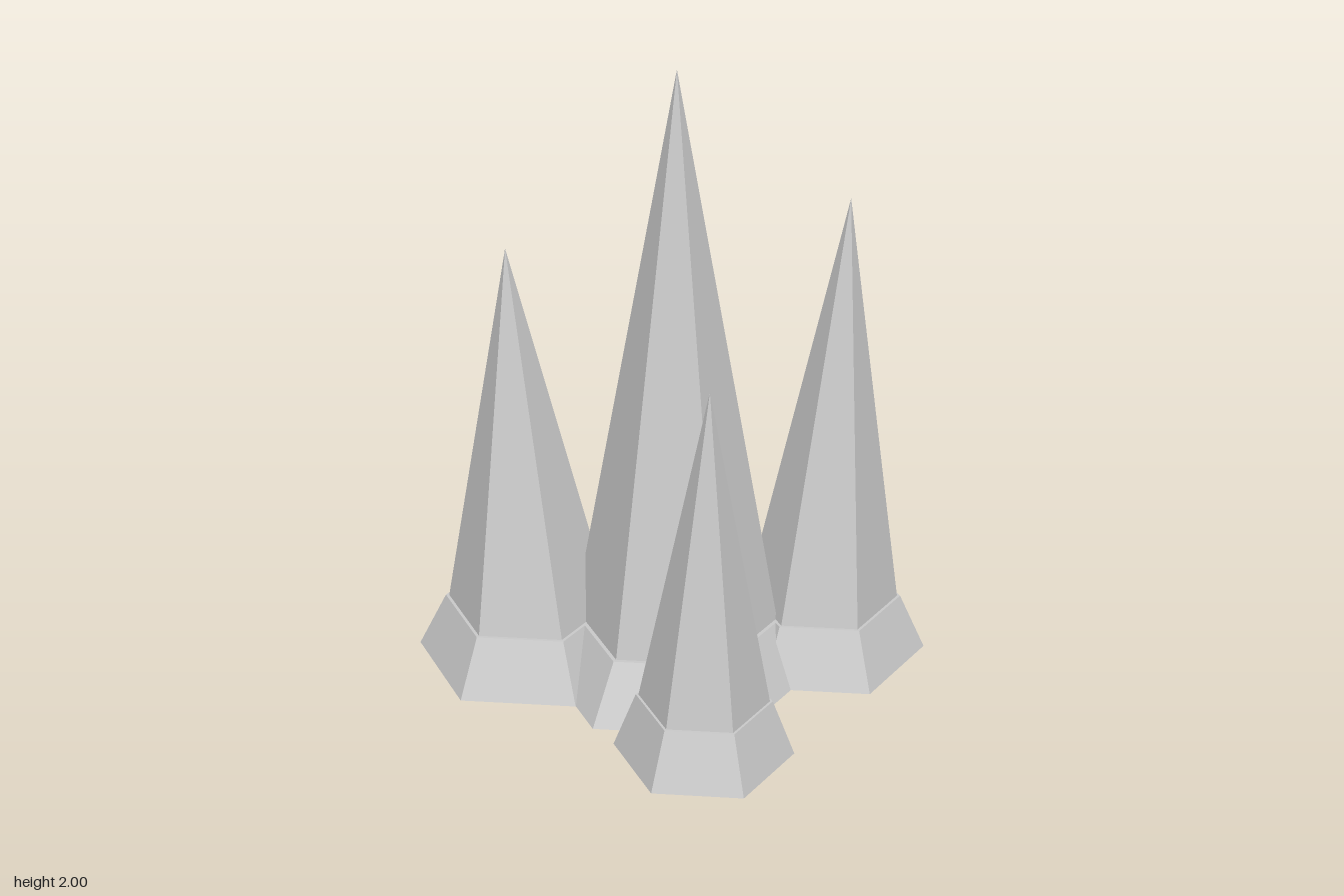
import * as THREE from 'three';

const stone = new THREE.MeshStandardMaterial({ color: 0xcccccc, flatShading: true });
stone.name = 'pale grey stone';

const BASE_HEIGHT = 0.185;
const CORNER = Math.PI / 6; // turns hexagon corners towards +x and -x

// Six-sided flared foot with a narrow ledge around the spike
function makeBase(radius) {
  const geometry = new THREE.CylinderGeometry(radius * 0.75, radius, BASE_HEIGHT, 6, 1, false, CORNER);
  geometry.translate(0, BASE_HEIGHT / 2, 0);
  const mesh = new THREE.Mesh(geometry, stone);
  mesh.name = 'base';
  return mesh;
}

// Six-sided pyramid whose tip leans slightly off centre
function makeSpike(radius, tipY, leanX, leanZ) {
  const height = tipY - BASE_HEIGHT;
  const geometry = new THREE.ConeGeometry(radius * 0.72, height, 6, 1, true, CORNER);
  geometry.translate(0, height / 2, 0);
  const p = geometry.attributes.position;
  for (let i = 0; i < p.count; i++) {
    const t = p.getY(i) / height;
    p.setX(i, p.getX(i) + leanX * t);
    p.setZ(i, p.getZ(i) + leanZ * t);
  }
  geometry.computeVertexNormals();
  const mesh = new THREE.Mesh(geometry, stone);
  mesh.name = 'spike';
  mesh.position.y = BASE_HEIGHT;
  return mesh;
}

export function createModel() {
  const model = new THREE.Group();
  model.name = 'spikeCluster';
  // name, centre x, centre z, base radius, tip x, tip y, tip z
  const spikes = [
    ['centreSpike', 0.02, -0.124, 0.44, 0.02, 2.0, -0.124],
    ['rightSpike', -0.445, -0.165, 0.358, -0.49, 1.403, -0.168],
    ['leftSpike', 0.471, -0.288, 0.329, 0.518, 1.545, -0.303],
    ['frontSpike', 0.144, 0.327, 0.273, 0.156, 1.242, 0.366],
  ];
  for (const [name, x, z, radius, tipX, tipY, tipZ] of spikes) {
    const group = new THREE.Group();
    group.name = name;
    group.position.set(x, 0, z);
    group.add(makeBase(radius), makeSpike(radius, tipY, tipX - x, tipZ - z));
    model.add(group);
  }
  return model;
}
